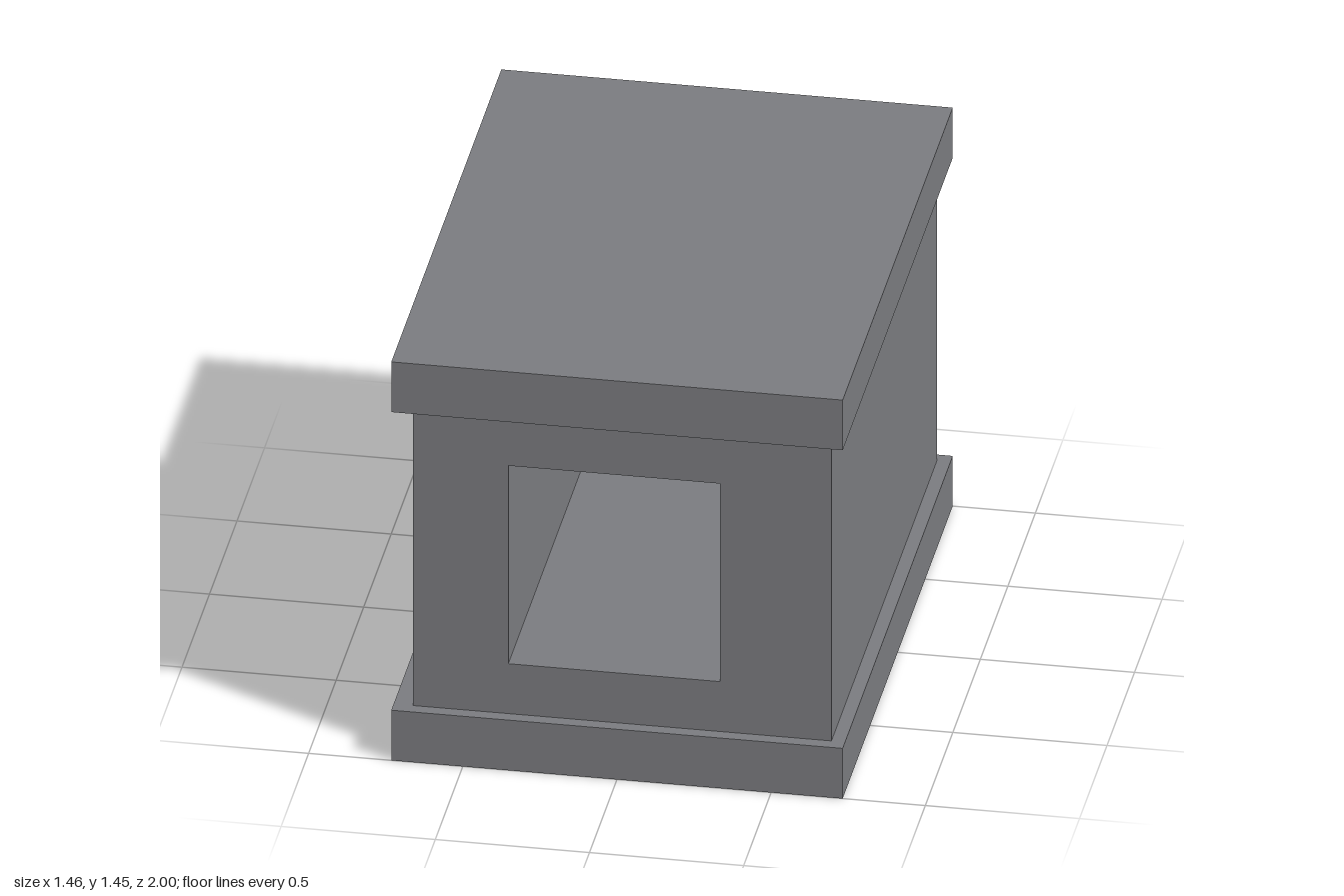
import * as THREE from 'three';

// Rectangle outline from opposite corners
function rect(path, x0, y0, x1, y1) {
  path.moveTo(x0, y0);
  path.lineTo(x1, y0);
  path.lineTo(x1, y1);
  path.lineTo(x0, y1);
  path.closePath();
  return path;
}

export function createModel() {
  const group = new THREE.Group();
  group.name = 'hollowBlock';
  const stone = new THREE.MeshStandardMaterial({ color: 0x7b7c80 });
  stone.name = 'grey stone';

  const width = 1.464, slabHeight = 0.182, height = 1.445;
  const bodyDepth = 1.914;

  // Base and top slabs
  for (const [name, y] of [['baseSlab', slabHeight / 2], ['topSlab', height - slabHeight / 2]]) {
    const slab = new THREE.Mesh(new THREE.BoxGeometry(width, slabHeight, 2), stone);
    slab.name = name;
    slab.position.y = y;
    group.add(slab);
  }

  // Body, slightly off centre, with a square tunnel from front to back
  const outline = rect(new THREE.Shape(), -0.67, slabHeight, 0.688, height - slabHeight);
  outline.holes.push(rect(new THREE.Path(), -0.36, 0.363, 0.327, 1.081));
  const bodyGeometry = new THREE.ExtrudeGeometry(outline, { depth: bodyDepth, bevelEnabled: false });
  bodyGeometry.translate(0, 0, -bodyDepth / 2);
  const body = new THREE.Mesh(bodyGeometry, stone);
  body.name = 'tunnelBody';
  group.add(body);

  return group;
}
